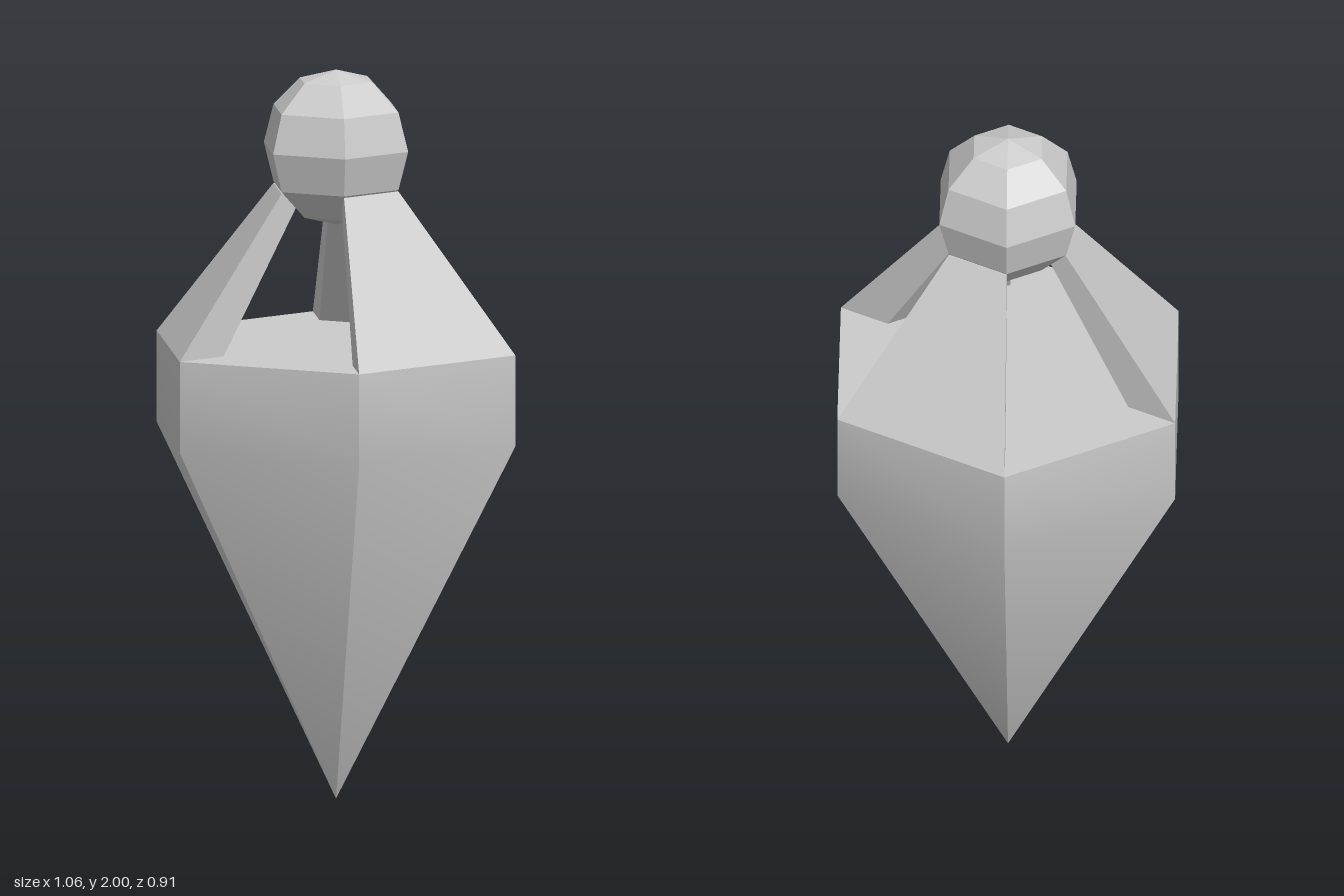
import * as THREE from 'three';
import { toCreasedNormals } from 'three/addons/utils/BufferGeometryUtils.js';
import { ConvexGeometry } from 'three/addons/geometries/ConvexGeometry.js';

const SIDES = 6;
const STEP = (Math.PI * 2) / SIDES;

// Point at a given radius and height, measured from +x towards +z
const polar = (r, y, a) => new THREE.Vector3(r * Math.cos(a), y, r * Math.sin(a));

export function createModel() {
  const group = new THREE.Group();
  const smooth = new THREE.MeshStandardMaterial({ color: 0xcccccc });
  const flat = new THREE.MeshStandardMaterial({ color: 0xcccccc, flatShading: true });

  const add = (name, geometry, material) => {
    const mesh = new THREE.Mesh(geometry, material);
    mesh.name = name;
    group.add(mesh);
    return mesh;
  };

  // Six-sided pointed body with a short upright band and a flat lid
  const profile = [[0, 0], [0.528, 1], [0.528, 1.25], [0, 1.25]]
    .map(([r, y]) => new THREE.Vector2(r, y));
  const body = new THREE.LatheGeometry(profile, SIDES);
  body.rotateY(STEP / 2);
  add('body', toCreasedNormals(body, 0.46), smooth);

  // Three sloping panels on alternate sides, running up into the knob
  const section = [[0.528, 1.25], [0.184, 1.677], [0.108, 1.677], [0.38, 1.25]];
  for (let i = 0; i < SIDES; i += 2) {
    const points = [i, i + 1].flatMap((k) => section.map(([r, y]) => polar(r, y, k * STEP)));
    add(`shoulderPanel${i / 2 + 1}`, new ConvexGeometry(points), flat);
  }

  // Faceted knob
  const knob = add('knob', new THREE.SphereGeometry(0.2125, SIDES, 6), flat);
  knob.position.y = 1.7875;

  return group;
}
